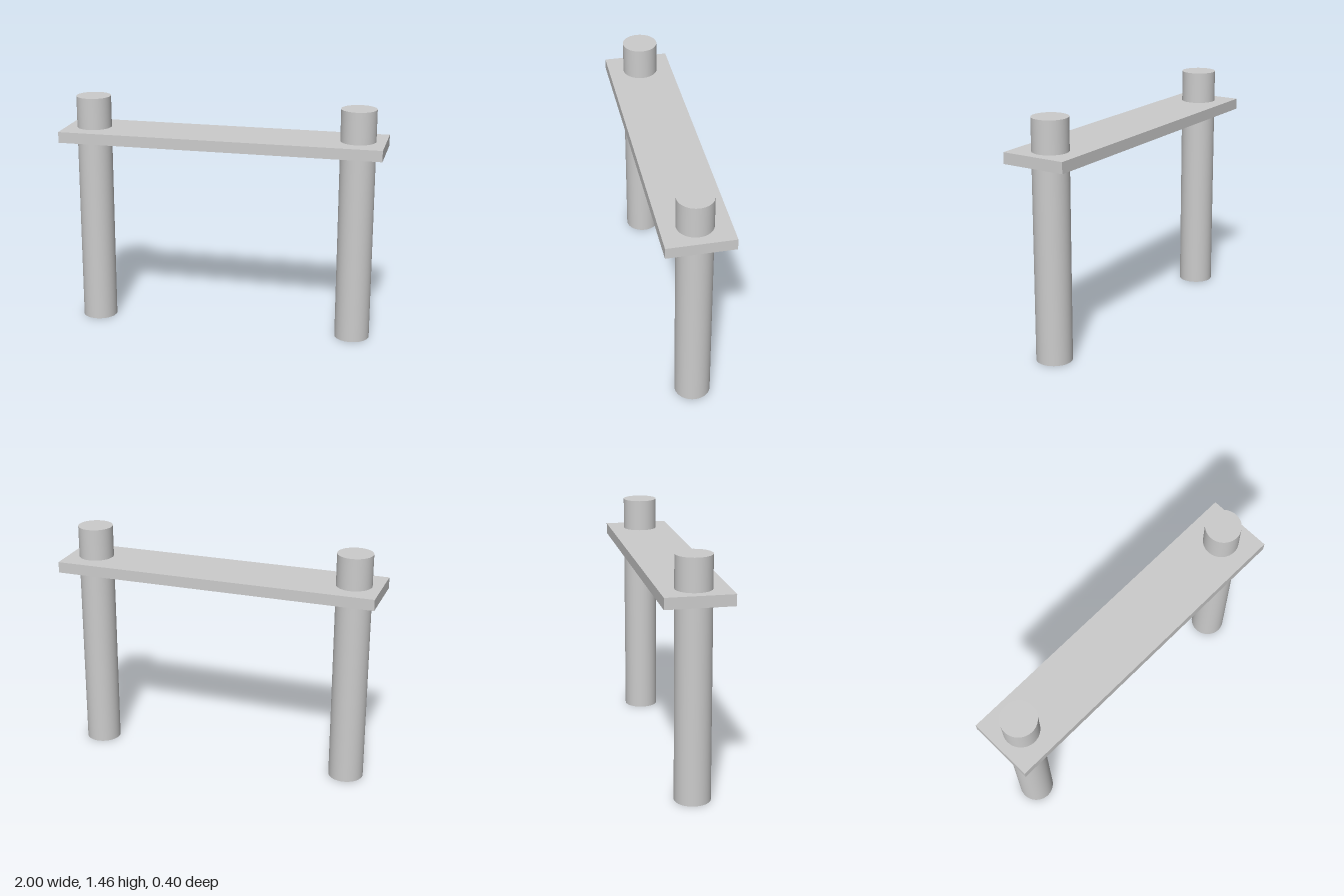
import * as THREE from 'three';

const POST_HEIGHT = 1.46;
const POST_RADIUS = 0.108;
const POST_X = 0.832;

export function createModel() {
  const model = new THREE.Group();
  model.name = 'postsWithPlank';
  const material = new THREE.MeshStandardMaterial({ color: 0xcccccc });

  // Round posts, passing through the plank near each end
  const postGeometry = new THREE.CylinderGeometry(POST_RADIUS, POST_RADIUS, POST_HEIGHT, 64);
  for (const [name, side] of [['leftPost', 1], ['rightPost', -1]]) {
    const post = new THREE.Mesh(postGeometry, material);
    post.name = name;
    post.position.set(side * POST_X, POST_HEIGHT / 2, 0);
    model.add(post);
  }

  // Flat plank joining the posts below their tops
  const plank = new THREE.Mesh(new THREE.BoxGeometry(2, 0.068, 0.404), material);
  plank.name = 'plank';
  plank.position.y = 1.229;
  model.add(plank);

  return model;
}
